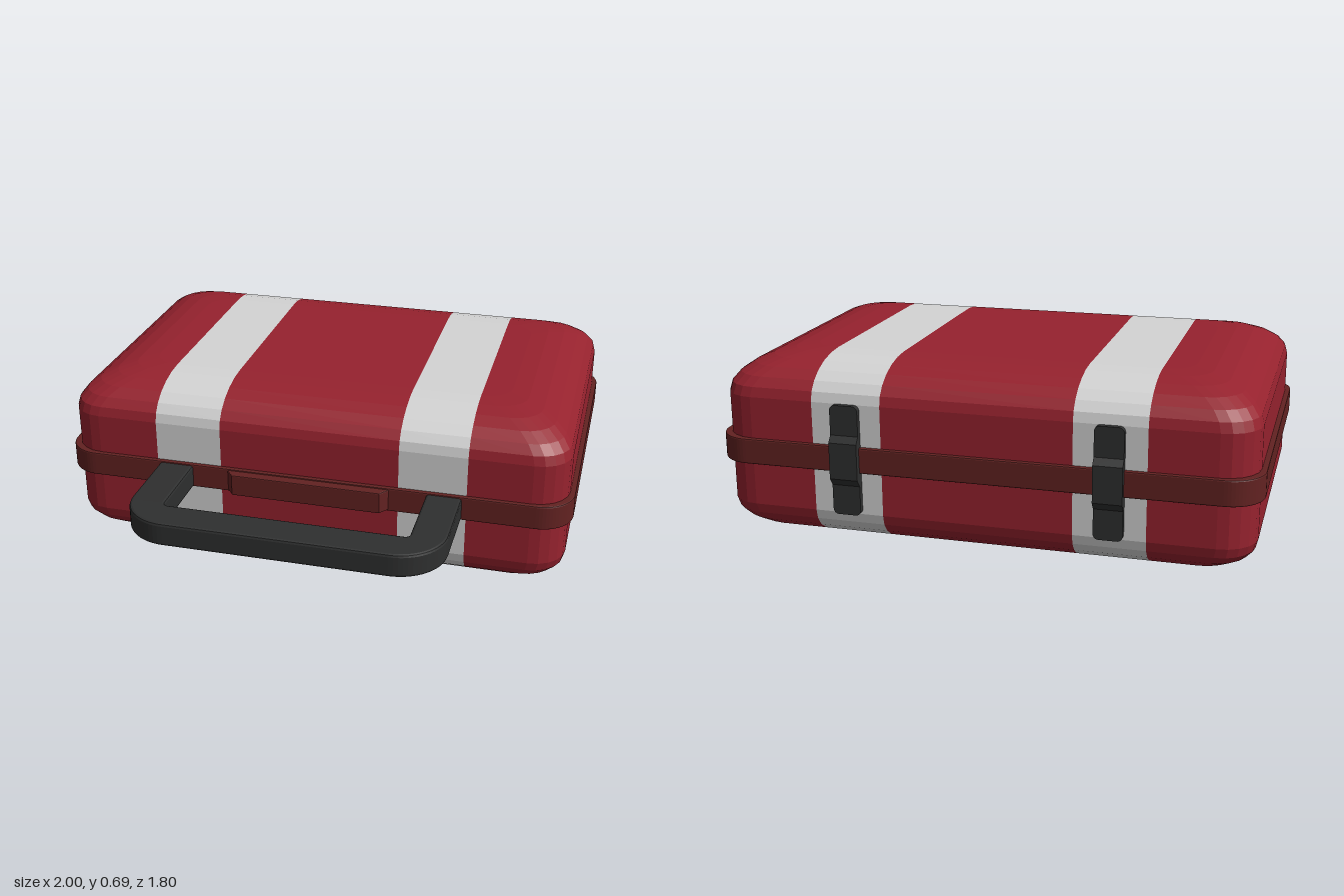
import * as THREE from 'three';

const STRIPE_IN = 0.35, STRIPE_OUT = 0.61;
const MID_Z = -0.215; // case centre in depth

function roundedRect(w, h, r, cx = 0, cy = 0) {
  const x = w / 2, y = h / 2, s = new THREE.Shape();
  s.absarc(cx + x - r, cy + y - r, r, 0, Math.PI / 2);
  s.absarc(cx - x + r, cy + y - r, r, Math.PI / 2, Math.PI);
  s.absarc(cx - x + r, cy - y + r, r, Math.PI, Math.PI * 1.5);
  s.absarc(cx + x - r, cy - y + r, r, Math.PI * 1.5, Math.PI * 2);
  s.closePath();
  return s;
}

// Lays an (x, z) outline flat between y0 and y0 + h, with a small bevel
function slab(shape, y0, h, b) {
  const g = new THREE.ExtrudeGeometry(shape, {
    depth: h - 2 * b, bevelSize: b, bevelThickness: b, bevelOffset: -b, bevelSegments: 2, curveSegments: 8,
  });
  return g.rotateX(Math.PI / 2).translate(0, y0 + h - b, 0);
}

// One horizontal section of the shell: rounded rectangle with fixed points at the stripe edges
function ring(y, inset, r) {
  const hx = 0.98 - inset, hz = 0.645 - inset, pts = [];
  const corner = (sx, sz, start) => {
    for (let k = 0; k <= 5; k++) {
      const a = start + (k / 5) * Math.PI / 2;
      pts.push([sx * (hx - r) + r * Math.cos(a), y, MID_Z + sz * (hz - r) + r * Math.sin(a)]);
    }
  };
  const side = (s) => [STRIPE_OUT, STRIPE_IN, -STRIPE_IN, -STRIPE_OUT]
    .forEach((x) => pts.push([s * x, y, MID_Z + s * hz]));
  corner(1, 1, 0);
  side(1);
  corner(-1, 1, Math.PI / 2);
  corner(-1, -1, Math.PI);
  side(-1);
  corner(1, -1, Math.PI * 1.5);
  return pts;
}

// Shell faces, sorted into plain shell and wrap-round stripes
function shellGeometries() {
  const rings = [], steps = 6;
  for (let k = 0; k <= steps; k++) {
    const a = (k / steps) * Math.PI / 2;
    const inset = 0.26 * (1 - Math.sin(a)), r = 0.13 - 0.12 * inset;
    rings.push(ring(0.14 * (1 - Math.cos(a)), inset, r));
  }
  // mirror the lower half upward
  for (let k = steps; k >= 0; k--) rings.push(rings[k].map(([x, y, z]) => [x, 0.69 - y, z]));

  const faces = { shell: [], stripe: [] };
  const n = rings[0].length, striped = [6, 8, 22, 24];
  const quad = (i, a, b, c, d) =>
    faces[striped.includes(i) ? 'stripe' : 'shell'].push(...a, ...b, ...c, ...a, ...c, ...d);
  for (let j = 0; j < rings.length - 1; j++) {
    const lo = rings[j], hi = rings[j + 1];
    for (let i = 0; i < n; i++) {
      const m = (i + 1) % n;
      quad(i, lo[i], hi[i], hi[m], lo[m]);
    }
  }
  // flat top and bottom, bridged from front edge to back edge
  const bottom = rings[0], top = rings[rings.length - 1];
  for (let i = 0; i < n / 2 - 1; i++) {
    const p = n - 1 - i;
    quad(i, top[i], top[p], top[p - 1], top[i + 1]);
    quad(i, bottom[i], bottom[i + 1], bottom[p - 1], bottom[p]);
  }
  const build = (list) => {
    const g = new THREE.BufferGeometry();
    g.setAttribute('position', new THREE.Float32BufferAttribute(list, 3));
    g.computeVertexNormals();
    return g;
  };
  return { shell: build(faces.shell), stripe: build(faces.stripe) };
}

export function createModel() {
  const mat = (name, color) => Object.assign(new THREE.MeshStandardMaterial({ color }), { name });
  const red = mat('red', 0x96222e);
  const white = mat('white', 0xd4d4d4);
  const maroon = mat('maroon', 0x622221);
  const black = mat('black', 0x2e2f2f);

  const model = new THREE.Group();
  model.name = 'case';
  const add = (name, geometry, material, parent = model) => {
    const m = new THREE.Mesh(geometry, material);
    m.name = name;
    parent.add(m);
    return m;
  };

  // Shell with stripes
  const { shell, stripe } = shellGeometries();
  add('shell', shell, red);
  add('stripes', stripe, white);

  // Seam band around the middle, with a tab at the front
  add('seamBand', slab(roundedRect(2, 1.325, 0.13, 0, MID_Z), 0.3, 0.095, 0.005), maroon);
  const tab = new THREE.Shape([[-0.33, 0.43], [0.33, 0.43], [0.29, 0.485], [-0.29, 0.485]]
    .map(([x, z]) => new THREE.Vector2(x, z)));
  add('frontTab', slab(tab, 0.305, 0.085, 0.004), maroon);

  // U-shaped handle
  const u = new THREE.Shape();
  u.moveTo(-0.595, 0.41);
  u.lineTo(-0.46, 0.41);
  u.lineTo(-0.46, 0.74);
  u.quadraticCurveTo(-0.46, 0.76, -0.44, 0.76);
  u.lineTo(0.44, 0.76);
  u.quadraticCurveTo(0.46, 0.76, 0.46, 0.74);
  u.lineTo(0.46, 0.41);
  u.lineTo(0.595, 0.41);
  u.lineTo(0.595, 0.72);
  u.absarc(0.415, 0.72, 0.18, 0, Math.PI / 2, false);
  u.lineTo(-0.415, 0.9);
  u.absarc(-0.415, 0.72, 0.18, Math.PI / 2, Math.PI, false);
  u.closePath();
  add('handle', slab(u, 0.3, 0.09, 0.01), black);

  // Pair of latches on the back
  const clasp = new THREE.Shape([[-0.85, 0.24], [-0.875, 0.245], [-0.9, 0.28], [-0.9, 0.415], [-0.875, 0.445], [-0.85, 0.45]]
    .map(([z, y]) => new THREE.Vector2(z, y)));
  for (const s of [-1, 1]) {
    const latch = new THREE.Group();
    latch.name = s > 0 ? 'leftLatch' : 'rightLatch';
    latch.position.x = s * 0.48;
    const plate = new THREE.ExtrudeGeometry(roundedRect(0.105, 0.41, 0.02, 0, 0.345), { depth: 0.03, bevelEnabled: false });
    add('latchPlate', plate.translate(0, 0, -0.88), black, latch);
    const claspGeo = new THREE.ExtrudeGeometry(clasp, { depth: 0.105, bevelEnabled: false });
    add('latchClasp', claspGeo.rotateY(-Math.PI / 2).translate(0.0525, 0, 0), black, latch);
    model.add(latch);
  }
  return model;
}
